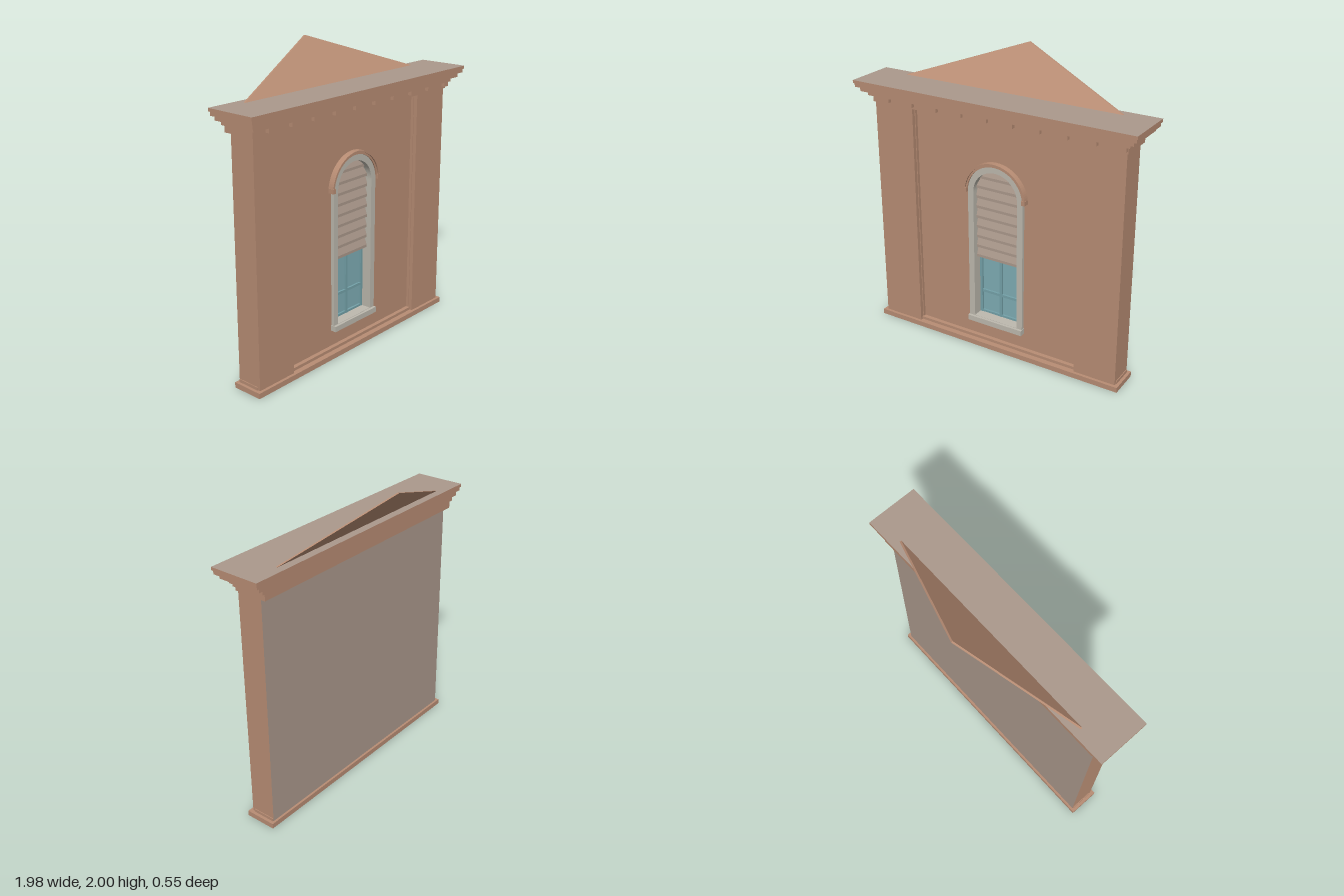
import * as THREE from 'three';

const mat = (name, color) => {
  const m = new THREE.MeshStandardMaterial({ color });
  m.name = name;
  return m;
};

export function createModel() {
  const brick = mat('brown masonry', 0xb88d74);
  const grey = mat('warm grey', 0xab998c);
  const stone = mat('pale stone', 0xbdb9ae);
  const teal = mat('teal frame', 0x74a2a9);
  const glass = mat('teal glass', 0x7eadb4);
  const root = new THREE.Group();

  const add = (parent, name, geometry, material) => {
    const mesh = new THREE.Mesh(geometry, material);
    mesh.name = name;
    parent.add(mesh);
    return mesh;
  };
  // Box given by its min and max on each axis
  const box = (parent, name, [x0, x1], [y0, y1], [z0, z1], material) => {
    const g = new THREE.BoxGeometry(x1 - x0, y1 - y0, z1 - z0);
    g.translate((x0 + x1) / 2, (y0 + y1) / 2, (z0 + z1) / 2);
    return add(parent, name, g, material);
  };
  const group = (name) => {
    const g = new THREE.Group();
    g.name = name;
    root.add(g);
    return g;
  };
  const extrude = (shape, z0, z1) => {
    const g = new THREE.ExtrudeGeometry(shape, { depth: z1 - z0, bevelEnabled: false, curveSegments: 24 });
    return g.translate(0, 0, z0);
  };

  // Round-headed outline: straight sides up to the springing line, then a half circle
  const SPRING = 1.1, SILL = 0.2;
  const arched = (path, r, bottom) => {
    path.moveTo(-r, bottom);
    path.lineTo(r, bottom);
    path.lineTo(r, SPRING);
    path.absarc(0, SPRING, r, 0, Math.PI, false);
    path.closePath();
    return path;
  };
  const halfRing = (inner, outer) => {
    const s = new THREE.Shape();
    s.absarc(0, SPRING, outer, 0, Math.PI, false);
    s.absarc(0, SPRING, inner, Math.PI, 0, true);
    s.closePath();
    return s;
  };

  // Wall: back sheet, recessed centre panel with the window opening, side piers
  const wall = group('wall');
  box(wall, 'wallBack', [-0.89, 0.89], [0.03, 1.6], [0, 0.02], [brick, brick, brick, brick, brick, grey]);
  const panel = new THREE.Shape();
  panel.moveTo(-0.61, 0.03);
  panel.lineTo(0.61, 0.03);
  panel.lineTo(0.61, 1.6);
  panel.lineTo(-0.61, 1.6);
  panel.closePath();
  panel.holes.push(arched(new THREE.Path(), 0.18, SILL - 0.01));
  add(wall, 'recessedPanel', extrude(panel, 0.02, 0.13), brick);
  for (const s of [-1, 1]) {
    const span = (a, b) => (s > 0 ? [a, b] : [-b, -a]);
    box(wall, 'pier', span(0.6, 0.89), [0.03, 1.6], [0.02, 0.175], brick);
    box(wall, 'pierBead', span(0.595, 0.6), [0.05, 1.6], [0.12, 0.15], brick);
  }

  // Plinth
  const plinth = group('plinth');
  box(plinth, 'plinthFoot', [-0.915, 0.915], [0, 0.035], [-0.015, 0.195], brick);
  box(plinth, 'plinthStep', [-0.895, 0.895], [0.035, 0.055], [0.003, 0.158], brick);

  // Cornice: stacked courses, [half width, bottom, top, back, front]
  const cornice = group('cornice');
  const courses = [
    [0.9, 1.585, 1.63, -0.04, 0.185],
    [0.92, 1.63, 1.66, -0.045, 0.212],
    [0.955, 1.66, 1.69, -0.055, 0.245],
    [0.98, 1.69, 1.715, -0.064, 0.266],
    [0.988, 1.715, 1.735, -0.07, 0.273],
  ];
  courses.forEach(([w, y0, y1, z0, z1], i) => {
    const m = i === courses.length - 1 ? [brick, brick, grey, brick, brick, brick] : brick;
    box(cornice, 'corniceCourse', [-w, w], [y0, y1], [z0, z1], m);
  });
  for (let i = 0; i < 10; i++) {
    const x = -0.78 + i * 0.184;
    box(cornice, 'dentil', [x - 0.021, x + 0.021], [1.602, 1.63], [0.18, 0.21], brick);
  }

  // Leaning triangular gable: a thin plate sheared backwards with height
  const tri = new THREE.Shape();
  tri.moveTo(-0.77, 1.735);
  tri.lineTo(0.77, 1.735);
  tri.lineTo(0, 2);
  tri.closePath();
  const gable = extrude(tri, -0.018, -0.006);
  const p = gable.attributes.position;
  for (let i = 0; i < p.count; i++) p.setZ(i, p.getZ(i) - (p.getY(i) - 1.735) * 0.965);
  gable.computeVertexNormals();
  add(root, 'gable', gable, brick);

  // Window surround, sill and hood
  const win = group('window');
  const surround = arched(new THREE.Shape(), 0.202, SILL);
  surround.holes.push(arched(new THREE.Path(), 0.161, SILL + 0.002));
  add(win, 'surround', extrude(surround, 0.03, 0.152), stone);
  box(win, 'sill', [-0.205, 0.205], [0.163, 0.2], [0.1, 0.17], stone);
  add(win, 'hoodInner', extrude(halfRing(0.202, 0.214), 0.12, 0.16), brick);
  add(win, 'hoodOuter', extrude(halfRing(0.214, 0.227), 0.12, 0.17), brick);
  for (const s of [-1, 1]) {
    box(win, 'hoodEnd', [s * 0.2145 - 0.0125, s * 0.2145 + 0.0125], [1.1, 1.13], [0.12, 0.172], brick);
  }

  // Sash: panes behind a grid of bars
  box(win, 'panes', [-0.162, 0.162], [SILL, 0.66], [0.04, 0.07], glass);
  for (const [a, b] of [[-0.162, -0.143], [-0.009, 0.009], [0.143, 0.162]]) {
    box(win, 'sashUpright', [a, b], [SILL, 0.66], [0.06, 0.085], teal);
  }
  for (const [a, b] of [[0.2, 0.217], [0.355, 0.373], [0.615, 0.66]]) {
    box(win, 'sashRail', [-0.162, 0.162], [a, b], [0.06, 0.083], teal);
  }

  // Louvred blind filling the arch; slat ends are buried in the surround
  const louvre = group('blind');
  add(louvre, 'blindBacking', extrude(arched(new THREE.Shape(), 0.165, 0.63), 0.06, 0.092), grey);
  const count = 9, pitch = 0.07;
  for (let i = 0; i < count; i++) {
    const y = 0.63 + i * pitch;
    const dy = Math.max(0, y - SPRING);
    const w = Math.sqrt(0.165 ** 2 - dy * dy);
    const slat = new THREE.Shape();
    slat.moveTo(-0.09, y);
    slat.lineTo(-0.09, y + pitch);
    slat.lineTo(-0.1, y + pitch);
    slat.lineTo(-0.118, y + 0.018);
    slat.lineTo(-0.118, y);
    slat.closePath();
    const g = extrude(slat, -w, w).rotateY(Math.PI / 2);
    // profile depth ran along -x, which the turn maps to +z
    add(louvre, 'slat', g, grey);
  }
  return root;
}
